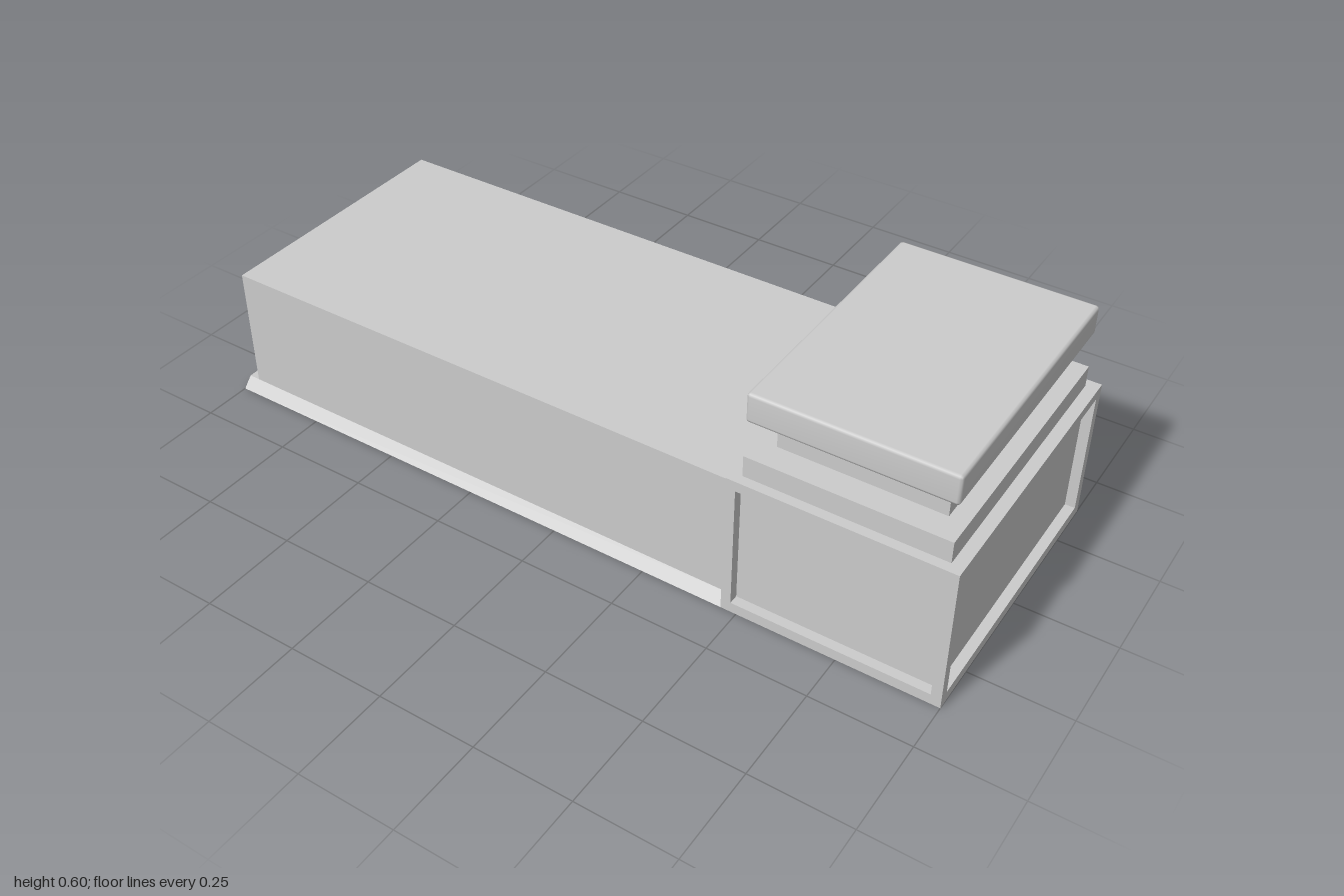
import * as THREE from 'three';
import { mergeVertices } from 'three/addons/utils/BufferGeometryUtils.js';
import { RoundedBoxGeometry } from 'three/addons/geometries/RoundedBoxGeometry.js';

const material = new THREE.MeshStandardMaterial({ color: 0xcccccc });

function add(parent, name, geometry) {
  const mesh = new THREE.Mesh(geometry, material);
  mesh.name = name;
  parent.add(mesh);
  return mesh;
}

// Box given by its lower and upper corner
function box(parent, name, [x0, y0, z0], [x1, y1, z1]) {
  const mesh = add(parent, name, new THREE.BoxGeometry(x1 - x0, y1 - y0, z1 - z0));
  mesh.position.set((x0 + x1) / 2, (y0 + y1) / 2, (z0 + z1) / 2);
}

export function createModel() {
  const model = new THREE.Group();
  model.name = 'pedestalTomb';

  const W = 0.375, w = 0.35;           // half widths: outer and inset
  const X0 = 0.46, X1 = 1;             // pedestal ends
  const H = 0.378, low = 0.027, high = 0.352;

  // Long slab on a skirt whose long sides slope
  box(model, 'slab', [-0.97, low, -w], [X0, high, w]);
  const profile = new THREE.Shape([[-W, 0], [W, 0], [w, low], [-w, low]]
    .map(([z, y]) => new THREE.Vector2(z, y)));
  const skirt = add(model, 'skirt',
    new THREE.ExtrudeGeometry(profile, { depth: X0 + 1, bevelEnabled: false }));
  skirt.rotation.y = -Math.PI / 2;
  skirt.position.x = X0;

  // Pedestal: core with raised frames around three recessed panels
  const pedestal = new THREE.Group();
  pedestal.name = 'pedestal';
  model.add(pedestal);
  const xi0 = 0.485, xi1 = 0.975;
  box(pedestal, 'core', [X0, 0, -w], [xi1, H, w]);
  for (const side of [-1, 1]) {
    const z0 = side > 0 ? w : -W, z1 = side > 0 ? W : -w;
    box(pedestal, 'innerPost', [X0, 0, z0], [xi0, H, z1]);
    box(pedestal, 'cornerPost', [xi1, 0, z0], [X1, H, z1]);
    box(pedestal, 'lowerRail', [xi0, 0, z0], [xi1, low, z1]);
    box(pedestal, 'upperRail', [xi0, high, z0], [xi1, H, z1]);
  }
  box(pedestal, 'endLowerRail', [xi1, 0, -w], [X1, low, w]);
  box(pedestal, 'endUpperRail', [xi1, high, -w], [X1, H, w]);

  // Stepped top
  box(model, 'step', [0.487, H, -w], [0.97, 0.432, w]);
  box(model, 'neck', [0.53, 0.432, -0.284], [0.927, 0.525, 0.284]);

  // Cap with softened edges, normals blended across the bevel
  const cap = new RoundedBoxGeometry(0.483, 0.075, 2 * w, 1, 0.008);
  cap.deleteAttribute('normal');
  cap.deleteAttribute('uv');
  const softCap = mergeVertices(cap, 1e-4);
  softCap.computeVertexNormals();
  add(model, 'cap', softCap).position.set(0.7285, 0.561, 0);

  return model;
}
